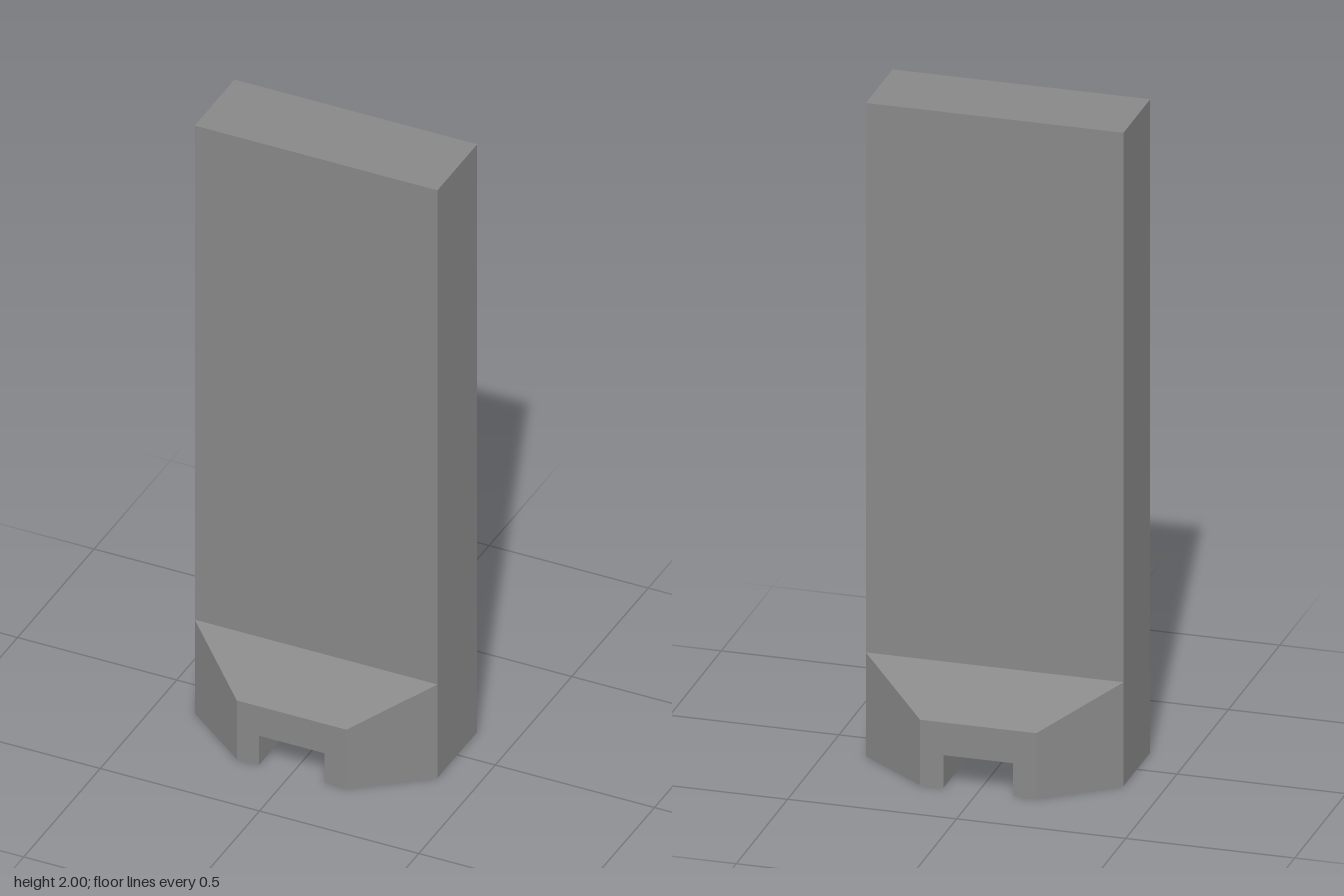
import * as THREE from 'three';

const HALF_W = 0.381, HALF_T = 0.13, SHOULDER = 0.318; // slab half width, half thickness, top of base
const TIP_W = 0.172, TIP_Z = 0.29, TIP_H = 0.2;        // narrowed ends of the base
const SLOT_W = 0.103, SLOT_H = 0.1;                    // channel under the base

export function createModel() {
  const group = new THREE.Group();
  const material = new THREE.MeshStandardMaterial({ color: 0x888888, flatShading: true });

  // Upright slab
  const slabH = 2 - SHOULDER;
  const slab = new THREE.Mesh(new THREE.BoxGeometry(HALF_W * 2, slabH, HALF_T * 2), material);
  slab.name = 'slab';
  slab.position.y = SHOULDER + slabH / 2;
  group.add(slab);

  // Slotted base: end outline extruded in three steps, middle layers widened to meet the slab
  const outline = new THREE.Shape([
    [-TIP_W, 0], [-SLOT_W, 0], [-SLOT_W, SLOT_H], [SLOT_W, SLOT_H],
    [SLOT_W, 0], [TIP_W, 0], [TIP_W, TIP_H], [-TIP_W, TIP_H],
  ].map(([x, y]) => new THREE.Vector2(x, y)));
  const geometry = new THREE.ExtrudeGeometry(outline, { depth: 3, steps: 3, bevelEnabled: false });
  const layers = [-TIP_Z, -HALF_T, HALF_T, TIP_Z];
  const p = geometry.attributes.position;
  for (let i = 0; i < p.count; i++) {
    const layer = Math.round(p.getZ(i)), x = p.getX(i);
    p.setZ(i, layers[layer]);
    if (layer === 1 || layer === 2) {
      if (Math.abs(x) > (SLOT_W + TIP_W) / 2) p.setX(i, Math.sign(x) * HALF_W);
      if (p.getY(i) > (SLOT_H + TIP_H) / 2) p.setY(i, SHOULDER);
    }
  }
  geometry.computeVertexNormals();
  const base = new THREE.Mesh(geometry, material);
  base.name = 'slottedBase';
  group.add(base);

  return group;
}
